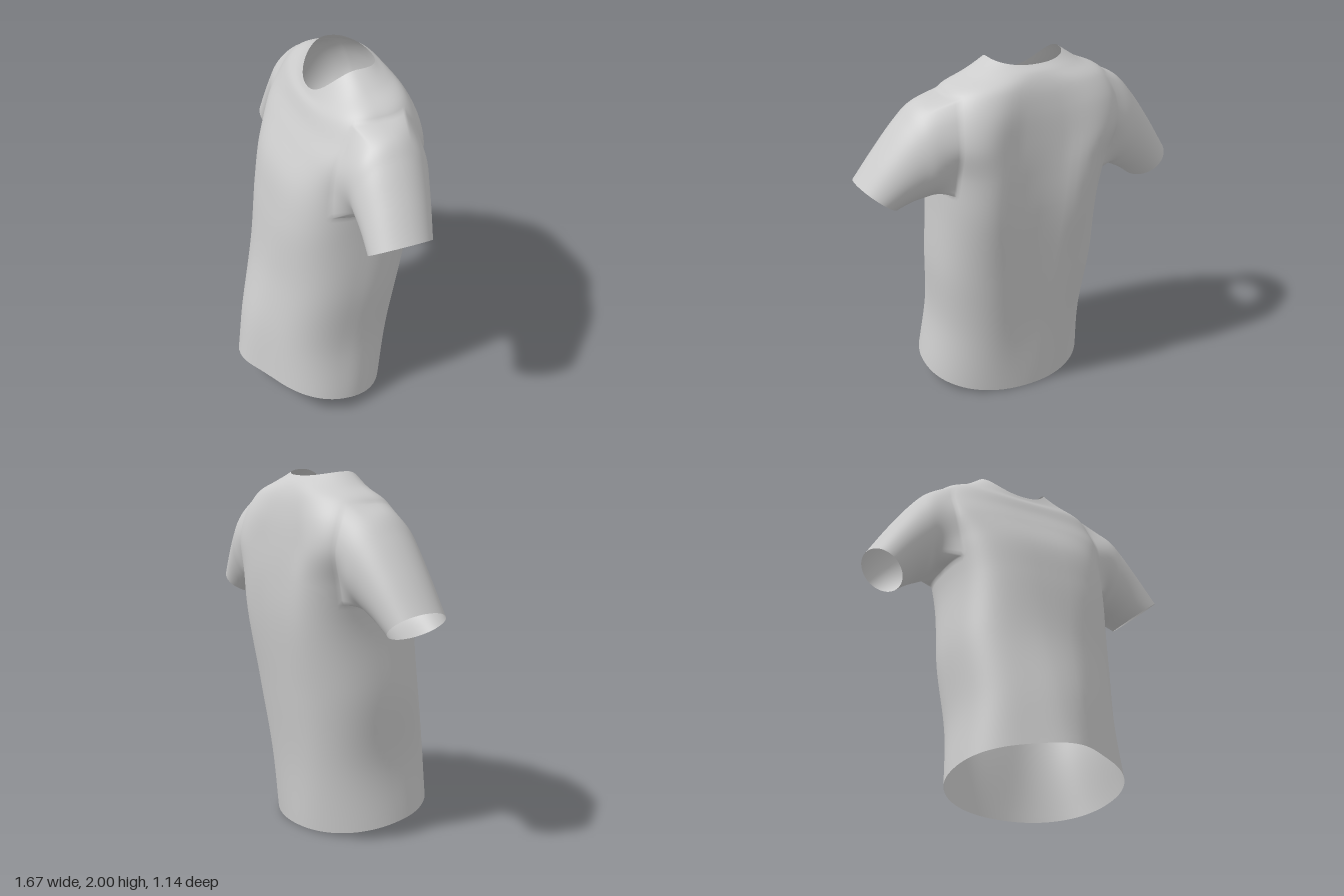
import * as THREE from 'three';

const SEGS = 96, ROWS = 72, SLEEVE_ROWS = 32;
const ARMHOLE = { half: 11, low: 28, high: 55 }; // in columns and rows of the torso grid
const fabric = new THREE.MeshStandardMaterial({ color: 0xcccccc, side: THREE.DoubleSide });

// Torso rings from hem to neckline:
// half width, front depth, back depth, centre x, centre z, y front, y back, y side,
// squareness, spine dent, front bulge, edge curve, gathering of columns to the sides
const TORSO = [
  [0.487, 0.37, 0.378, 0.01, 0.174, 0.18, 0, 0.089, 2.15, 0, 0.18, 1, 0],
  [0.45, 0.38, 0.385, 0, 0.135, 0.46, 0.37, 0.41, 2.4, 0.06, 0.13, 1, 0.1],
  [0.47, 0.385, 0.385, -0.005, 0.07, 0.82, 0.78, 0.8, 2.5, 0.1, 0.05, 1, 0.3],
  [0.46, 0.4, 0.4, 0, 0.014, 1.2, 1.2, 1.2, 2.8, 0.15, 0, 2, 0.6],
  [0.48, 0.385, 0.38, -0.015, -0.02, 1.42, 1.42, 1.42, 2.9, 0.18, 0, 2, 0.48],
  [0.52, 0.33, 0.345, -0.03, -0.05, 1.59, 1.6, 1.6, 3.2, 0.2, 0, 2, 0.2],
  [0.51, 0.28, 0.305, -0.035, -0.06, 1.7, 1.76, 1.74, 2.9, 0.18, 0, 2, 0.28],
  [0.455, 0.245, 0.255, -0.03, -0.06, 1.78, 1.87, 1.855, 2.5, 0.12, 0, 2, 0.45],
  [0.32, 0.215, 0.2, -0.03, -0.055, 1.815, 1.935, 1.925, 2.3, 0.03, 0, 2, 0.3],
  [0.208, 0.193, 0.16, -0.04, -0.046, 1.84, 1.97, 1.995, 2.3, 0, 0, 1.7, 0],
];

function torsoPoint(row, t) {
  const [a, front, back, cx, cz, yFront, yBack, ySide, n, dent, bulge, curve, gather] = row;
  const angle = t - (gather * Math.sin(2 * t)) / 2;
  const c = Math.cos(angle), s = Math.sin(angle);
  const round = (v) => Math.sign(v) * Math.abs(v) ** (2 / n);
  const middle = Math.exp(-((c / 0.32) ** 2));
  const depth = s > 0 ? front * (1 + bulge * middle) : back * (1 - dent * middle);
  return new THREE.Vector3(
    cx + a * round(c),
    ySide + ((s > 0 ? yFront : yBack) - ySide) * Math.abs(s) ** curve,
    cz + depth * round(s)
  );
}

// Sleeve rings from shoulder to cuff: top x, top y, bottom x, bottom y, half depth, centre z, progress
const SLEEVE = [
  [0.555, 1.805, 0.5, 1.295, 0.222, -0.05, 0.25],
  [0.64, 1.725, 0.55, 1.285, 0.208, -0.04, 0.45],
  [0.76, 1.575, 0.61, 1.27, 0.19, -0.025, 0.7],
  [0.885, 1.4, 0.68, 1.24, 0.172, -0.005, 1],
];

function sleevePoint([tx, ty, bx, by, depth, cz, k], t, { side, outward, drop, back }) {
  const c = Math.cos(t);
  return new THREE.Vector3(
    side * ((tx + bx) / 2 + ((tx - bx) / 2) * c + outward),
    (ty + by) / 2 + ((ty - by) / 2) * c - drop * k,
    cz + depth * Math.sin(t) - back * k
  );
}

const column = (j) => (j + SEGS) % SEGS;
const torsoVertex = (j, i) => column(j) * (ROWS + 1) + i;

// Vertices around one armhole: along the armpit, up the front or back, over the shoulder, and down
function armholeLoop(centre) {
  const { half, low, high } = ARMHOLE, loop = [];
  for (let j = -half; j < half; j++) loop.push(torsoVertex(centre + j, low));
  for (let i = low; i < high; i++) loop.push(torsoVertex(centre + half, i));
  for (let j = half; j > -half; j--) loop.push(torsoVertex(centre + j, high));
  for (let i = high; i > low; i--) loop.push(torsoVertex(centre - half, i));
  return loop;
}

function inArmhole(j, i) {
  const { half, low, high } = ARMHOLE;
  const fromSide = Math.abs(((j + 0.5 + SEGS / 4) % (SEGS / 2)) - SEGS / 4);
  return fromSide < half && i >= low && i < high;
}

function torsoFaces(points) {
  for (let j = 0; j < SEGS; j++) {
    const t = (j / SEGS) * Math.PI * 2;
    points.push(...new THREE.CatmullRomCurve3(TORSO.map((row) => torsoPoint(row, t))).getPoints(ROWS));
  }
  const faces = [];
  for (let j = 0; j < SEGS; j++) {
    for (let i = 0; i < ROWS; i++) {
      if (inArmhole(j, i)) continue;
      const a = torsoVertex(j, i), b = torsoVertex(j + 1, i);
      faces.push(a, a + 1, b, b, a + 1, b + 1);
    }
  }
  return faces;
}

// Grows a sleeve out of the armhole edge so that the cloth runs on without a break
function sleeveFaces(points, options) {
  const loop = armholeLoop(options.side > 0 ? 0 : SEGS / 2);
  const grid = loop.map((start) => {
    const p = points[start];
    const t = Math.atan2((p.z + 0.05) / 0.24, (p.y - 1.56) / 0.25);
    const path = [p, ...SLEEVE.map((row) => sleevePoint(row, t, options))];
    const first = points.length;
    points.push(...new THREE.CatmullRomCurve3(path).getPoints(SLEEVE_ROWS).slice(1));
    return [start, ...Array.from({ length: SLEEVE_ROWS }, (_, i) => first + i)];
  });
  const faces = [];
  grid.forEach((line, k) => {
    const next = grid[(k + 1) % grid.length];
    for (let i = 0; i < SLEEVE_ROWS; i++) {
      faces.push(line[i], line[i + 1], next[i], next[i], line[i + 1], next[i + 1]);
    }
  });
  return faces;
}

export function createModel() {
  const points = [];
  const parts = {
    torso: torsoFaces(points),
    leftSleeve: sleeveFaces(points, { side: 1, outward: 0.02, drop: 0, back: 0 }),
    rightSleeve: sleeveFaces(points, { side: -1, outward: 0.042, drop: 0.08, back: 0.025 }),
  };

  // Normals are worked out over the whole shirt, so the shoulder seams stay smooth
  const cloth = new THREE.BufferGeometry().setFromPoints(points);
  cloth.setIndex(Object.values(parts).flat());
  cloth.computeVertexNormals();

  const shirt = new THREE.Group();
  shirt.name = 'shirt';
  for (const [name, faces] of Object.entries(parts)) {
    const geometry = cloth.clone().setIndex(faces);
    const mesh = new THREE.Mesh(geometry, fabric);
    mesh.name = name;
    shirt.add(mesh);
  }
  // The body is turned towards its right
  shirt.rotation.y = THREE.MathUtils.degToRad(-28);

  const model = new THREE.Group();
  model.name = 'tShirt';
  model.add(shirt);
  return model;
}
